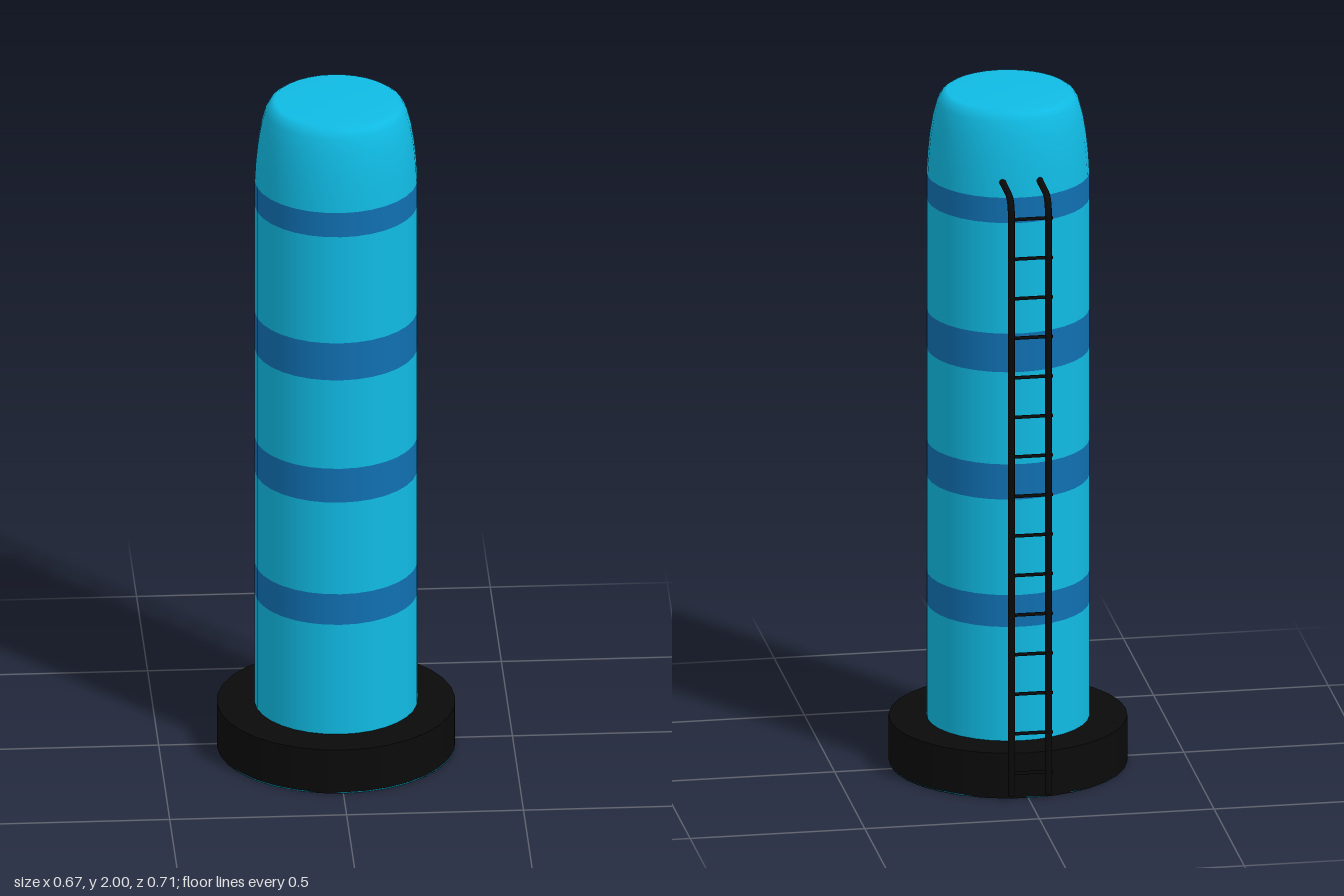
import * as THREE from 'three';

const TANK_Z = 0.02, SIDES = 32;
const paint = (color) => new THREE.MeshStandardMaterial({ color });
const blue = paint(0x10bbe4), bandBlue = paint(0x1070b2), black = paint(0x0a0a0a);

function add(parent, name, geometry, material, x = 0, y = 0, z = 0) {
  const mesh = new THREE.Mesh(geometry, material);
  mesh.name = name;
  mesh.position.set(x, y, z);
  parent.add(mesh);
  return mesh;
}

// Lathe from [radius, height] pairs, listed bottom to top
function lathe(points) {
  return new THREE.LatheGeometry(points.map(([r, y]) => new THREE.Vector2(r, y)), SIDES);
}

export function createModel() {
  const model = new THREE.Group();
  model.name = 'storageTank';

  const tank = new THREE.Group();
  tank.name = 'tank';
  tank.position.z = TANK_Z;
  model.add(tank);

  // Painted wall sections, alternating plain and banded
  const R = 0.23;
  const levels = [0.135, 0.475, 0.57, 0.855, 0.96, 1.235, 1.35, 1.68, 1.755];
  for (let i = 0; i < levels.length - 1; i++) {
    const [y0, y1] = [levels[i], levels[i + 1]];
    const banded = i % 2 === 1;
    add(tank, banded ? 'band' : 'wall', lathe([[R, y0], [R, y1]]), banded ? bandBlue : blue);
  }

  // Rounded shoulder closing to a flat top
  add(tank, 'dome', lathe([
    [R, 1.755], [0.227, 1.81], [0.221, 1.87], [0.212, 1.925],
    [0.2, 1.97], [0.188, 1.99], [0.173, 2], [0, 2],
  ]), blue);

  // Wide foundation ring: black side and ledge, blue underside
  add(tank, 'baseSide', new THREE.CylinderGeometry(0.337, 0.337, 0.135, SIDES, 1, true), black, 0, 0.0675);
  const ledge = add(tank, 'baseLedge', new THREE.RingGeometry(R - 0.005, 0.337, SIDES), black, 0, 0.135);
  ledge.rotation.x = -Math.PI / 2;
  add(tank, 'underside', lathe([[0, 0], [0.265, 0], [0.337, 0], [0.337, 0.004]]), blue);

  // Ladder behind the tank
  const ladder = new THREE.Group();
  ladder.name = 'ladder';
  model.add(ladder);

  const path = new THREE.CurvePath();
  const v = (y, z) => new THREE.Vector3(0, y, z);
  path.add(new THREE.LineCurve3(v(0.02, -0.346), v(1.75, -0.342)));
  path.add(new THREE.QuadraticBezierCurve3(v(1.75, -0.342), v(1.798, -0.34), v(1.798, -0.29)));
  path.add(new THREE.LineCurve3(v(1.798, -0.29), v(1.8, -0.195)));
  const rail = new THREE.TubeGeometry(path, 120, 0.01, 8);
  for (const side of [-1, 1]) {
    add(ladder, side > 0 ? 'leftRail' : 'rightRail', rail, black, side * 0.053);
    const foot = add(ladder, 'railFoot', new THREE.CircleGeometry(0.01, 8), black, side * 0.053, 0.02, -0.346);
    foot.rotation.x = Math.PI / 2;
  }

  const rung = new THREE.CylinderGeometry(0.005, 0.005, 0.12, 6).rotateZ(Math.PI / 2);
  for (let i = 0; i < 15; i++) add(ladder, 'rung', rung, black, -0.005, 0.085 + i * 0.118, -0.343);

  return model;
}
